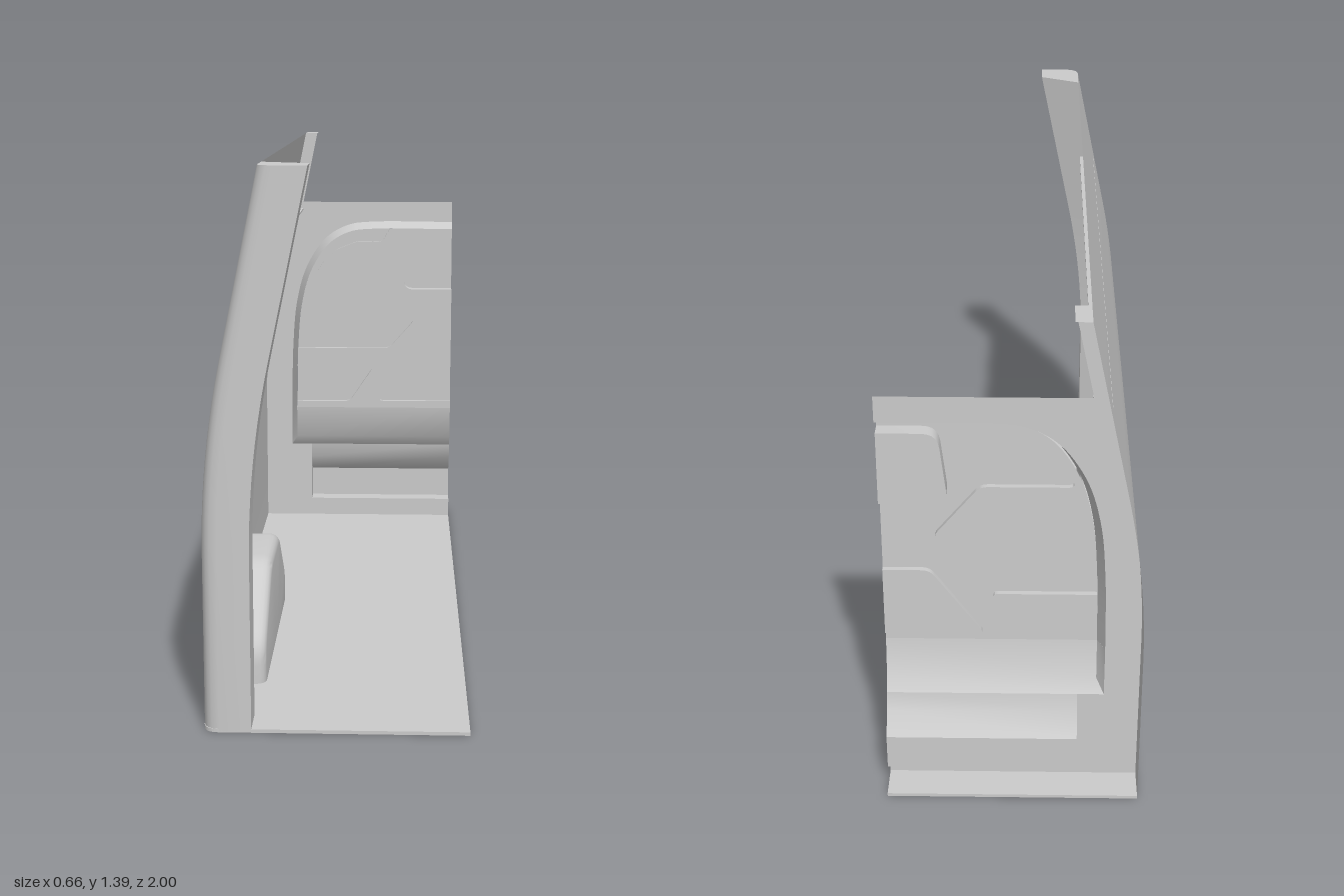
import * as THREE from 'three';
import { toCreasedNormals } from 'three/addons/utils/BufferGeometryUtils.js';

const material = new THREE.MeshStandardMaterial({ color: 0xcccccc, side: THREE.DoubleSide });

// Surface through equally long rows of [x, y, z] points
function sheet(rows) {
  const n = rows[0].length, index = [];
  for (let i = 0; i < rows.length - 1; i++)
    for (let j = 0; j < n - 1; j++) {
      const a = i * n + j, b = a + n;
      index.push(a, a + 1, b, a + 1, b + 1, b);
    }
  const g = new THREE.BufferGeometry();
  g.setAttribute('position', new THREE.Float32BufferAttribute(rows.flat(2), 3));
  g.setIndex(index);
  return toCreasedNormals(g, 0.5);
}

// Flat outline of [x, y] points, set to depth z(y)
function plate(pts, z) {
  const g = new THREE.ShapeGeometry(new THREE.Shape(pts.map(p => new THREE.Vector2(...p))));
  const pos = g.attributes.position;
  for (let i = 0; i < pos.count; i++) pos.setZ(i, z(pos.getY(i)));
  g.computeVertexNormals();
  return g;
}

// Open polyline with its inner corners rounded
function rounded(pts, r) {
  const v = pts.map(p => new THREE.Vector2(...p)), out = [pts[0]];
  for (let i = 1; i < v.length - 1; i++) {
    const toward = q => v[i].clone().lerp(q, Math.min(0.45, r / v[i].distanceTo(q)));
    const curve = new THREE.QuadraticBezierCurve(toward(v[i - 1]), v[i], toward(v[i + 1]));
    out.push(...curve.getPoints(5).map(p => [p.x, p.y]));
  }
  out.push(pts[pts.length - 1]);
  return out;
}

// Side wall: upright below, curving into a straight inward lean
function wallX(y) {
  const t = Math.max(0, y - 0.45), w = 0.48, k = 0.208;
  return -0.332 + (t < w ? k * t * t / (2 * w) : k * (t - w / 2));
}

export function createModel() {
  const model = new THREE.Group();
  const add = (name, geometry, parent = model) => {
    const mesh = new THREE.Mesh(geometry, material);
    mesh.name = name;
    parent.add(mesh);
    return mesh;
  };
  const top = 1.395;
  const levels = [0, 0.45];
  for (let i = 1; i <= 10; i++) levels.push(0.45 + 0.048 * i);
  levels.push(top);

  // Floor with a rounded rear corner
  const floor = new THREE.Shape();
  floor.moveTo(-0.332, -1);
  floor.lineTo(0.33, -1);
  floor.lineTo(0.33, 1);
  floor.lineTo(-0.292, 1);
  floor.quadraticCurveTo(-0.332, 1, -0.332, 0.96);
  const floorGeo = new THREE.ExtrudeGeometry(floor, { depth: 0.009, bevelEnabled: false });
  add('floor', floorGeo.rotateX(Math.PI / 2).translate(0, 0.009, 0));

  // Side wall and rear pillar follow the same lean
  add('sideWall', sheet(levels.map(y => [[wallX(y), y, -1], [wallX(y), y, 0.96]])));
  const section = [[0, 0.96], [0.004, 0.978], [0.012, 0.989], [0.022, 0.996], [0.04, 1],
    [0.12, 1], [0.12, 0.91], [0, 0.85]];
  const pillarRow = y => section.map(([dx, z]) => [wallX(y) + dx, y, z]);
  add('rearPillar', sheet(levels.map(pillarRow)));
  const closed = [...pillarRow(top), pillarRow(top)[0]];
  add('rearPillarCap', sheet([closed, closed.map(() => [wallX(top) + 0.06, top, 0.94])]));

  // Ledge along the wall and small flange at the front top corner
  add('wallLedge', new THREE.BoxGeometry(0.045, 0.006, 1.78)
    .translate(wallX(1.13) + 0.0225, 1.13, -0.02));
  add('frontFlangeCap', sheet([-1, -0.91].map(z => [[wallX(top), top, z], [wallX(top) + 0.04, top, z]])));

  // Wheel arch: outline in z and y, shrunk towards its inner face
  const arch = rounded([[0, 0], [0, 0.1], [0.21, 0.282], [0.49, 0.282], [0.71, 0.11], [0.71, 0]], 0.05);
  const archRows = [[-0.332, 0], [-0.225, 0], [-0.215, 0.003], [-0.207, 0.009], [-0.202, 0.017],
    [-0.2, 0.027], [-0.2, 0.28]];
  add('wheelArch', sheet(archRows.map(([x, d]) =>
    arch.map(([z, y]) => [x, y * (1 - d / 0.282), 0.355 + (z - 0.355) * (1 - d / 0.355)]))));

  // Bulkhead
  const bulkhead = new THREE.Group();
  bulkhead.name = 'bulkhead';
  model.add(bulkhead);
  const back = -0.91;
  const panelZ = y => -0.856 - (1.065 - y) * 0.02;

  // Sloped rim between frame and raised panel
  const rimCurve = new THREE.CatmullRomCurve3([[-0.22, 0.42], [-0.215, 0.64], [-0.2, 0.8], [-0.165, 0.92],
    [-0.1, 1.015], [-0.03, 1.055], [0.04, 1.065], [0.33, 1.065]].map(p => new THREE.Vector3(...p, 0)));
  const rim = [], rimOuter = [];
  for (let i = 0; i <= 48; i++) {
    const p = rimCurve.getPoint(i / 48), t = rimCurve.getTangent(i / 48);
    rim.push([p.x, p.y]);
    rimOuter.push([p.x - t.y * 0.02, p.y + t.x * 0.02]);
  }
  add('panelRim', sheet([rimOuter.map(p => [...p, back]), rim.map(p => [...p, panelZ(p[1])])]), bulkhead);

  // Frame reaching the side wall, with the strip up to the top
  const frame = [[0.33, 0], [0.33, 0.07], [-0.17, 0.07], [-0.17, 0.275], [-0.24, 0.275], ...rimOuter,
    [0.33, 1.155], [wallX(1.155) + 0.04, 1.155], [wallX(top) + 0.04, top],
    ...[...levels].reverse().map(y => [wallX(y), y])];
  add('bulkheadFrame', plate(frame, () => back), bulkhead);

  // Pressed recesses, each open at one side of the panel
  const lowerRight = rounded([[0.33, 0.445], [0.07, 0.445], [0.21, 0.64], [0.33, 0.64]], 0.02);
  const pocket = rounded([[0.33, 0.85], [0.157, 0.85], [0.18, 1.047], [0.33, 1.047]], 0.04);
  const upper = rounded([[0.11, 1.065], [0.085, 1.018], [0, 1.022], [-0.08, 0.99], [-0.13, 0.94],
    [-0.16, 0.885], [0.08, 0.885], [0.2, 0.74], [0.11, 0.638], [-0.215, 0.638]], 0.02);
  const lowerLeft = rounded([[-0.217, 0.57], [0.055, 0.57], [-0.03, 0.443], [-0.219, 0.443]], 0.02);
  const upperEdge = rim.filter(([x, y]) => y > 0.645 && x < 0.1);
  const recess = (name, edge, depth, rest = []) => {
    add(name + 'Floor', plate([...edge, ...rest], y => panelZ(y) - depth), bulkhead);
    add(name + 'Side', sheet([0, depth].map(d => edge.map(p => [...p, panelZ(p[1]) - d]))), bulkhead);
  };
  recess('lowerRightRecess', lowerRight, 0.014);
  recess('pocket', pocket, 0.04);
  recess('upperRecess', upper, 0.014, upperEdge);
  recess('lowerLeftRecess', lowerLeft, 0.014);
  const rimTop = rim.filter(([x]) => x > 0.115).reverse();
  add('raisedPanel', plate([[-0.22, 0.42], [0.33, 0.42], ...lowerRight, ...pocket, ...rimTop,
    ...upper, ...lowerLeft], panelZ), bulkhead);

  // Lower step under the panel, with its sloping end
  const step = [[0.42, panelZ(0.42)], [0.31, -0.885], [0.275, back]];
  add('lowerStep', sheet(step.map(([y, z]) =>
    [[-0.24, y, back], [-0.22, y, z], [0.33, y, z]])), bulkhead);

  // Foot box pressed out behind the bulkhead
  const box = [[0.275, back], [0.225, -0.92], [0.17, -0.965], [0.07, -0.965], [0.07, back]];
  add('footBox', sheet(box.map(([y, z]) =>
    [[-0.17, y, back], [-0.17, y, z], [0.33, y, z]])), bulkhead);

  return model;
}
